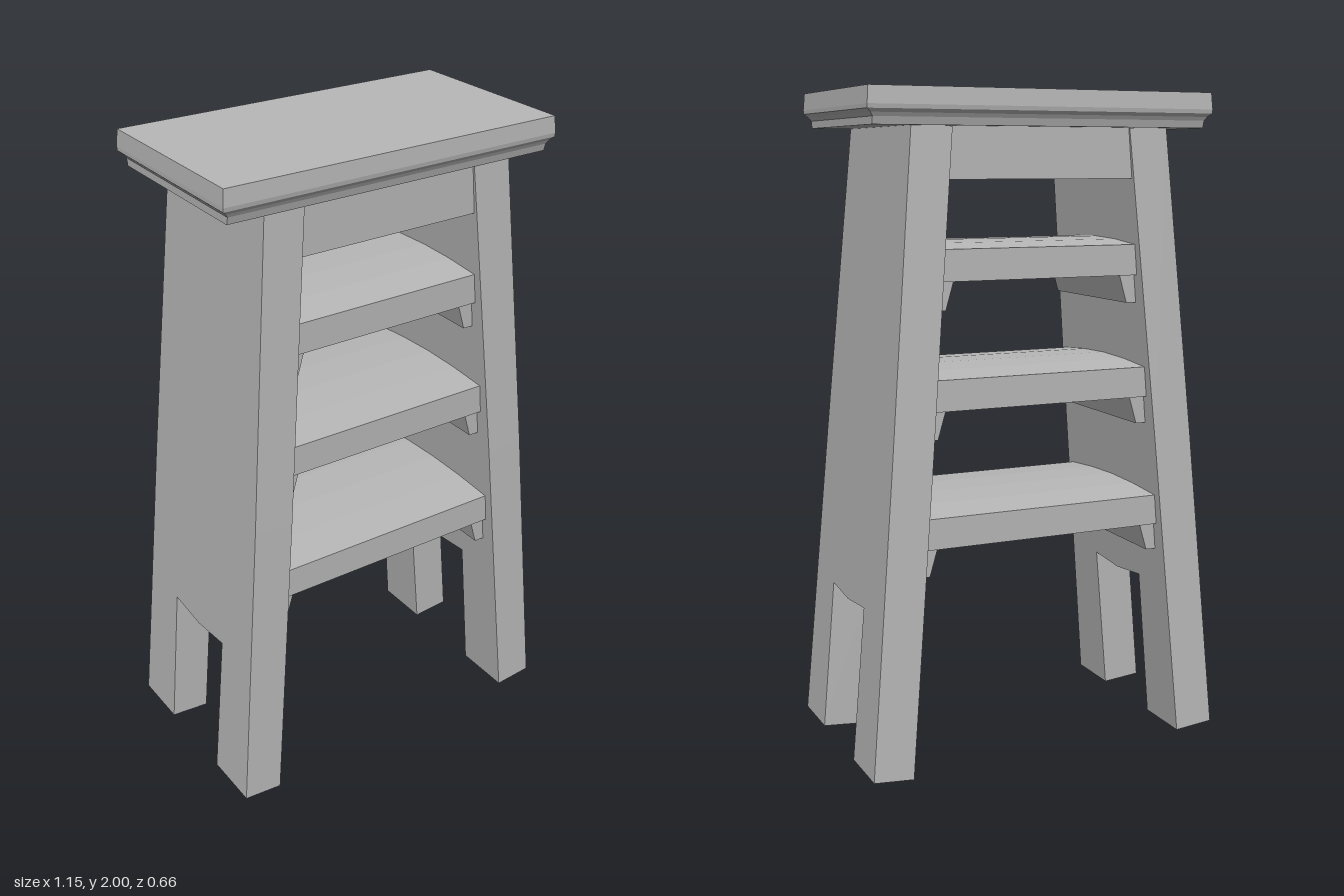
import * as THREE from 'three';

const LEAN = 0.0872;                          // sideways lean of the side panels
const wallX = (y) => 0.45 - LEAN * y;         // inner face of a panel at height y
const halfDepth = (y) => 0.331 - 0.037 * y;   // half depth of a panel at height y

// Extrude a closed outline of [x, y] points
function extrude(points, depth) {
  const shape = new THREE.Shape(points.map(([x, y]) => new THREE.Vector2(x, y)));
  return new THREE.ExtrudeGeometry(shape, { depth, bevelEnabled: false });
}

// Extrude an outline of [z, y] points along x, from x = 0 towards -x
function extrudeAlongX(points, depth) {
  return extrude(points, depth).rotateY(-Math.PI / 2);
}

// Moulded slab from rectangular rings [halfX, halfZ, y], listed from bottom to top
function mouldedSlab(rings) {
  const pos = [];
  const corners = ([x, z, y]) => [[-x, y, z], [x, y, z], [x, y, -z], [-x, y, -z]];
  const quad = (a, b, c, d) => pos.push(...a, ...b, ...c, ...a, ...c, ...d);
  for (let i = 0; i < rings.length - 1; i++) {
    const lo = corners(rings[i]), hi = corners(rings[i + 1]);
    for (let k = 0; k < 4; k++) {
      const n = (k + 1) % 4;
      quad(lo[k], lo[n], hi[n], hi[k]);
    }
  }
  quad(...corners(rings[rings.length - 1]));
  quad(...corners(rings[0]).reverse());
  const g = new THREE.BufferGeometry();
  g.setAttribute('position', new THREE.Float32BufferAttribute(pos, 3));
  g.computeVertexNormals();
  return g;
}

export function createModel() {
  const model = new THREE.Group();
  const grey = new THREE.MeshStandardMaterial({ color: 0xb8b8b8 });
  grey.name = 'plain grey';

  const add = (name, geometry, parent = model) => {
    const mesh = new THREE.Mesh(geometry, grey);
    mesh.name = name;
    parent.add(mesh);
    return mesh;
  };

  // Seat with a moulded lower edge
  add('seat', mouldedSlab([
    [0.53, 0.276, 1.895], [0.53, 0.282, 1.917], [0.538, 0.288, 1.928],
    [0.55, 0.296, 1.938], [0.55, 0.298, 1.95], [0.546, 0.295, 2],
  ]));

  // Solid apron under the seat
  const apron = add('apron', new THREE.BoxGeometry(0.66, 0.16, 0.51));
  apron.position.y = 1.825;

  // Tapered side panels, each cut away at the bottom to leave two legs
  const half = [[0.145, 0.475], [0.145, 0], [0.332, 0], [0.302, 0.95], [0.261, 1.9]];
  const outline = [[0, 0.462], ...half, ...half.map(([z, y]) => [-z, y]).reverse()];
  for (const [name, turn] of [['leftSide', 0], ['rightSide', Math.PI]]) {
    const side = new THREE.Group();
    side.name = name;
    side.rotation.y = turn;
    model.add(side);

    const panel = extrudeAlongX(outline, 0.125).rotateZ(LEAN).translate(0.575, 0.011, 0);
    add('sidePanel', panel, side);

    // Cleats that carry the shelves
    for (const y of [0.675, 1.08, 1.455]) {
      const depth = 2 * (halfDepth(y) - 0.045);
      const x = wallX(y);
      const cleat = extrude([
        [x + 0.03, y + 0.01], [x - 0.053, y + 0.01], [x - 0.05, y],
        [x - 0.025, y - 0.085], [x + 0.03, y - 0.085],
      ], depth);
      add('cleat', cleat.translate(0, 0, -depth / 2), side);
    }
  }

  // Shelves with slightly crowned tops
  for (const y of [0.675, 1.08, 1.455]) {
    const hz = halfDepth(y) - 0.028;
    const hx = wallX(y) + 0.03;
    const section = [
      [-hz, y], [hz, y], [hz, y + 0.093], [hz / 2, y + 0.104],
      [0, y + 0.108], [-hz / 2, y + 0.104], [-hz, y + 0.093],
    ];
    add('shelf', extrudeAlongX(section, 2 * hx).translate(hx, 0, 0));
  }
  return model;
}
